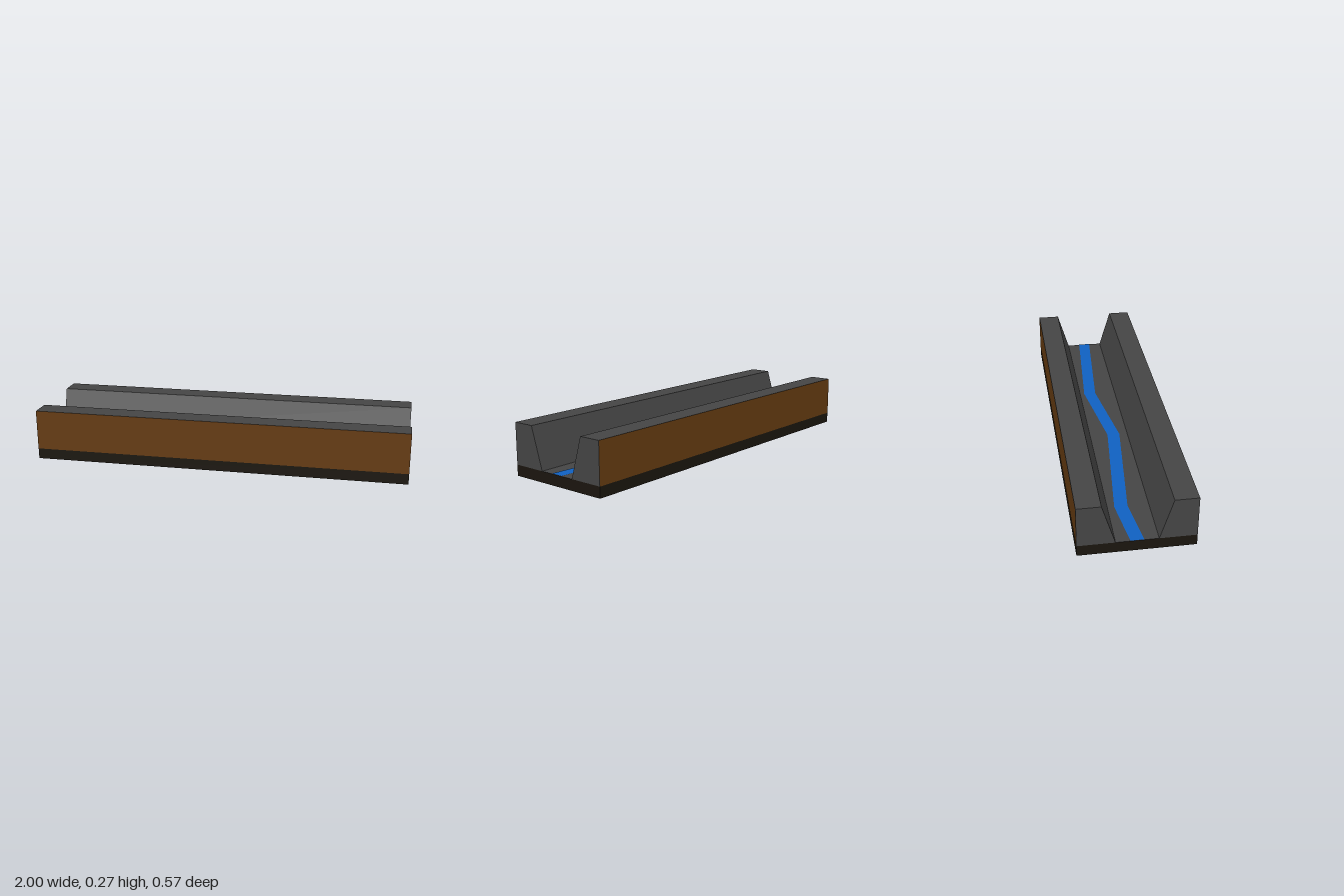
import * as THREE from 'three';

const LENGTH = 2, OUTER = 0.286, FLOOR = 0.057, TOP = 0.272;
const paint = (color) => new THREE.MeshStandardMaterial({ color, flatShading: true });

export function createModel() {
  const group = new THREE.Group();
  const stone = paint(0x444444), soil = paint(0x633a10), bedrock = paint(0x1a150e), blue = paint(0x0f60c0);
  blue.side = THREE.DoubleSide;

  const add = (name, geometry, material, parent = group) => {
    const mesh = new THREE.Mesh(geometry, material);
    mesh.name = name;
    parent.add(mesh);
    return mesh;
  };

  // Base slab, with a stone floor on its upper face
  add('base', new THREE.BoxGeometry(LENGTH, FLOOR, 2 * OUTER).translate(0, FLOOR / 2, 0),
    [bedrock, bedrock, stone, bedrock, bedrock, bedrock]);

  // Canyon walls: sloped inside, upright outside with a soil face
  const profile = new THREE.Shape([[0.103, FLOOR], [OUTER, FLOOR], [OUTER, TOP], [0.168, TOP]]
    .map(([x, y]) => new THREE.Vector2(x, y)));
  for (const [side, turn] of [['front', 0], ['back', Math.PI]]) {
    const wall = new THREE.Group();
    wall.name = side + 'Wall';
    wall.rotation.y = turn;
    add(side + 'Cliff', new THREE.ExtrudeGeometry(profile, { depth: LENGTH, bevelEnabled: false })
      .translate(0, 0, -LENGTH / 2).rotateY(-Math.PI / 2), stone, wall);
    add(side + 'SoilFace', new THREE.PlaneGeometry(LENGTH, TOP - FLOOR)
      .translate(0, (TOP + FLOOR) / 2, OUTER + 0.001), soil, wall);
    group.add(wall);
  }

  // River: a thin zigzag strip along the floor
  const course = [[-1, 0], [-0.74, -0.036], [-0.1, 0.026], [0.36, -0.046], [1, 0]];
  const bank = (offset) => course.map(([x, z]) => new THREE.Vector2(x, -z + offset));
  const river = new THREE.Shape([...bank(-0.033), ...bank(0.033).reverse()]);
  add('river', new THREE.ShapeGeometry(river).rotateX(-Math.PI / 2).translate(0, FLOOR + 0.002, 0), blue);

  return group;
}
